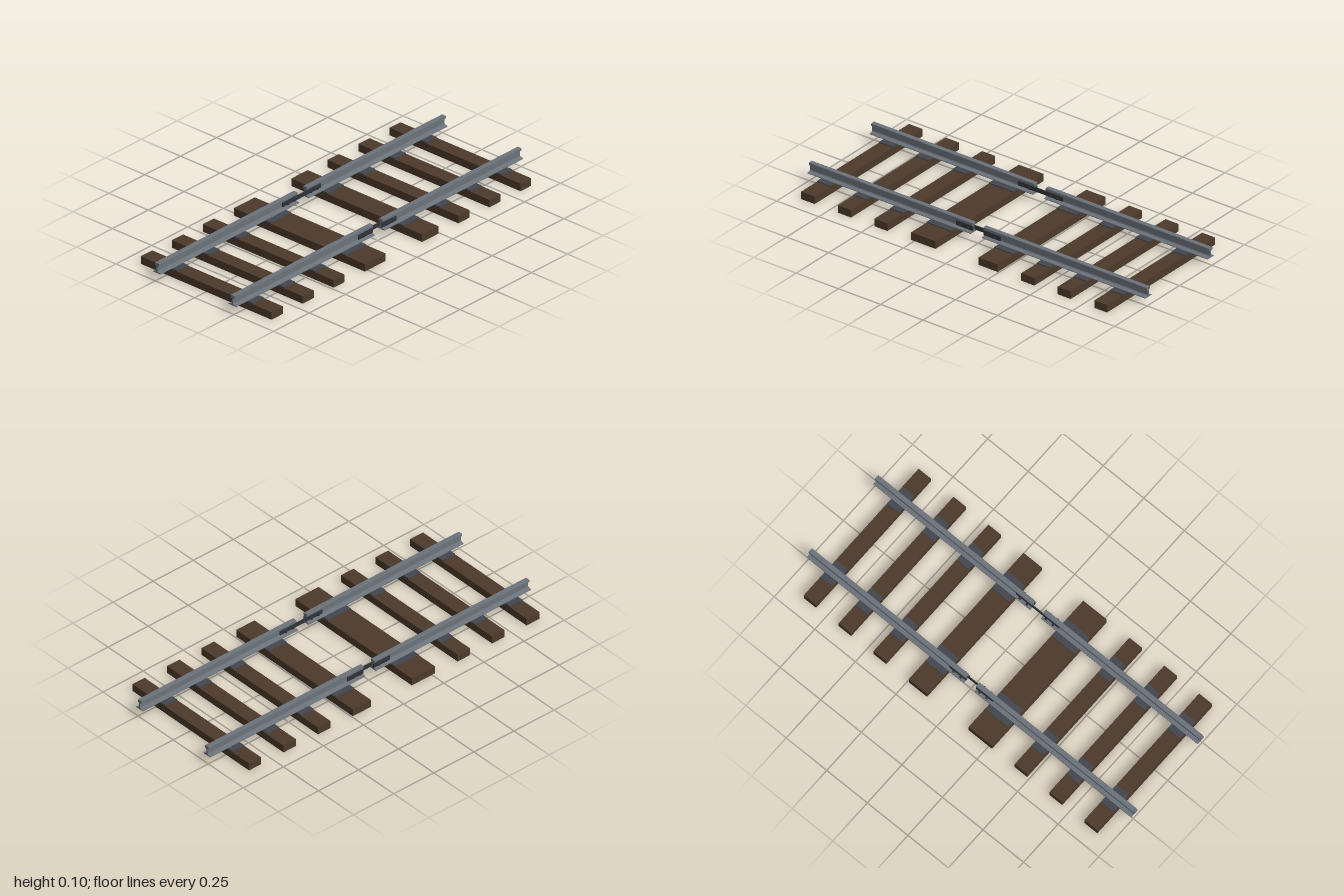
import * as THREE from 'three';

const mat = (name, color) => Object.assign(new THREE.MeshStandardMaterial({ color }), { name });

export function createModel() {
  const wood = mat('sleeper wood', 0x4c3a2a);
  const steel = mat('rail steel', 0x6a727a);
  const plate = mat('base plate iron', 0x43464d);
  const dark = mat('joint iron', 0x303338);

  const model = new THREE.Group();
  model.name = 'railTrack';

  const add = (parent, name, geometry, material, x, y, z) => {
    const mesh = new THREE.Mesh(geometry, material);
    mesh.name = name;
    mesh.position.set(x, y, z);
    parent.add(mesh);
    return mesh;
  };
  const box = (parent, name, w, h, d, material, x, y, z) =>
    add(parent, name, new THREE.BoxGeometry(w, h, d), material, x, y, z);

  // Sleepers as [back, front] along z, each with two base plates
  const sleepers = [
    [-0.89, -0.815], [-0.675, -0.598], [-0.46, -0.382], [-0.243, -0.13],
    [0.125, 0.27], [0.41, 0.487], [0.625, 0.703], [0.84, 0.92],
  ];
  for (const [a, b] of sleepers) {
    const z = (a + b) / 2;
    box(model, 'sleeper', 0.83, 0.04, b - a, wood, 0, 0.02, z);
    for (const x of [-0.24, 0.24]) {
      box(model, 'basePlate', 0.112, 0.005, b - a - 0.002, plate, x, 0.0425, z);
    }
  }

  // Half of the rail section, from the foot up to the head
  const half = [
    [0.024, 0.045], [0.024, 0.048], [0.006, 0.053], [0.004, 0.057],
    [0.004, 0.081], [0.0125, 0.085], [0.0125, 0.096], [0.0105, 0.098],
  ];
  const section = new THREE.Shape([
    ...half, ...half.slice().reverse().map(([x, y]) => [-x, y]),
  ].map(([x, y]) => new THREE.Vector2(x, y)));
  const gap = 0.033;
  const railGeometry = new THREE.ExtrudeGeometry(section, { depth: 1 - gap, bevelEnabled: false });

  const shank = new THREE.CylinderGeometry(0.003, 0.003, 0.044, 8).rotateZ(Math.PI / 2);
  const nut = new THREE.CylinderGeometry(0.007, 0.007, 0.006, 6).rotateZ(Math.PI / 2);

  for (const side of [-1, 1]) {
    const line = new THREE.Group();
    line.name = side > 0 ? 'leftRail' : 'rightRail';
    line.position.x = side * 0.24;
    model.add(line);

    add(line, 'frontRail', railGeometry, steel, 0, 0, gap);
    add(line, 'backRail', railGeometry, steel, 0, 0, -1);

    // Inner joint bar bridges the gap; the outer bars stop at the rail ends
    box(line, 'innerJointBar', 0.005, 0.022, 0.264, dark, -side * 0.0075, 0.068, 0);
    for (const end of [-1, 1]) {
      box(line, 'outerJointBar', 0.005, 0.024, 0.1, dark, side * 0.0075, 0.067, end * 0.082);
      // Two bolts through each rail end
      for (const z of [0.058, 0.102]) {
        add(line, 'bolt', shank, dark, 0, 0.067, end * z);
        for (const s of [-1, 1]) add(line, 'nut', nut, dark, s * 0.016, 0.067, end * z);
      }
    }
  }
  return model;
}
